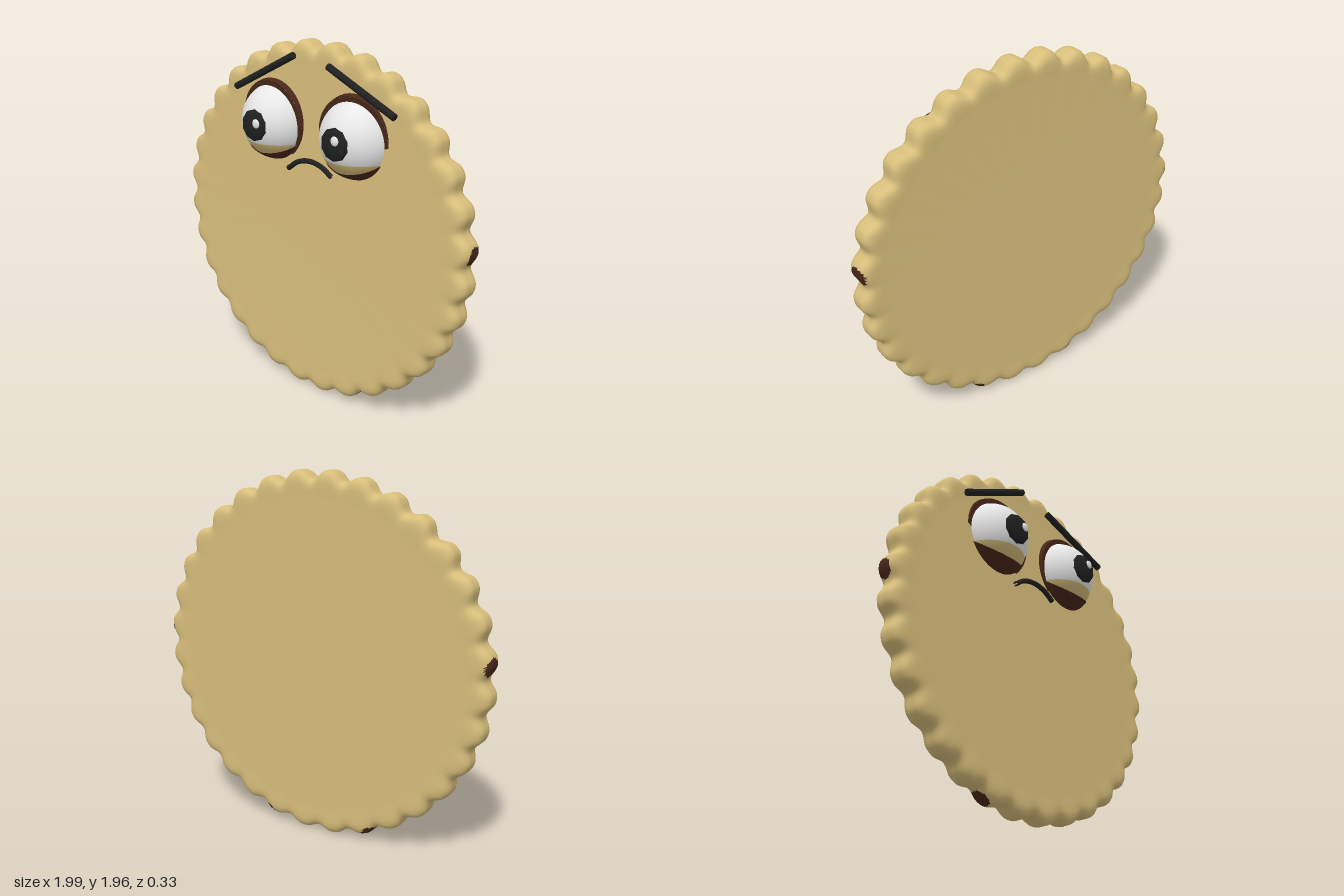
import * as THREE from 'three';

const mat = (name, color) => {
  const m = new THREE.MeshStandardMaterial({ color, side: THREE.DoubleSide });
  m.name = name;
  return m;
};

// Limb sockets painted on the rim, in the body's own frame
const sockets = [[0.99, 0.067, -0.015], [0.318, -0.918, -0.018]];

// Scalloped disc: rings of [base radius, z, share of the edge wave], swept front to back
function biscuitGeometry() {
  const half = [[0, 0.067, 0], [0.84, 0.067, 0], [0.885, 0.0685, 0.15], [0.912, 0.068, 0.5], [0.928, 0.062, 0.75],
    [0.938, 0.053, 0.9], [0.945, 0.042, 0.97], [0.949, 0.03, 1], [0.95, 0.02, 1], [0.95, 0.01, 1]];
  const rings = [...half, [0.95, 0, 1], ...half.slice().reverse().map(([r, z, w]) => [r, -z, w])];
  const seg = 640, pos = [], plain = [], painted = [];
  for (const [r, z, w] of rings) {
    for (let j = 0; j < seg; j++) {
      const t = (j / seg) * Math.PI * 2;
      const wave = 1 - Math.pow(Math.cos(16 * t) ** 2, 1.4);
      const depth = 0.038 + 0.01 * Math.sin(t);
      const R = r + w * (0.05 - depth * (1 - wave));
      pos.push(R * Math.cos(t), R * 0.982 * Math.sin(t), z * (1 + 0.12 * wave * w));
    }
  }
  const inSocket = (ids) => {
    const mid = [0, 1, 2].map((k) => ids.reduce((sum, i) => sum + pos[i * 3 + k], 0) / 3);
    return sockets.some(([x, y, z]) => Math.hypot(Math.abs(mid[0]) - x, mid[1] - y, mid[2] - z) < 0.052);
  };
  const face = (...ids) => (inSocket(ids) ? painted : plain).push(...ids);
  for (let i = 0; i < rings.length - 1; i++) {
    for (let j = 0; j < seg; j++) {
      const k = (j + 1) % seg;
      const a = i * seg + j, b = (i + 1) * seg + j, c = (i + 1) * seg + k, d = i * seg + k;
      if (i < rings.length - 2) face(a, b, c);
      if (i > 0) face(a, c, d);
    }
  }
  const g = new THREE.BufferGeometry();
  g.setAttribute('position', new THREE.Float32BufferAttribute(pos, 3));
  g.setIndex([...plain, ...painted]);
  g.addGroup(0, plain.length, 0);
  g.addGroup(plain.length, painted.length, 1);
  g.computeVertexNormals();
  return g;
}

export function createModel() {
  const model = new THREE.Group();
  model.name = 'biscuitCharacter';
  const dough = mat('dough', 0xd8be7b);
  const white = mat('eyeWhite', 0xebebeb);
  const black = mat('black', 0x202020);
  const brown = mat('darkBrown', 0x482719);
  const up = new THREE.Vector3(0, 1, 0);

  const add = (parent, name, geo, material, x = 0, y = 0, z = 0) => {
    const m = new THREE.Mesh(geo, material);
    m.name = name;
    m.position.set(x, y, z);
    parent.add(m);
    return m;
  };
  // Part of a sphere on the side of a plane that the axis points to, flattened inside the body
  const cap = (parent, name, r, axis, dist, material, y = 0) => {
    const g = new THREE.SphereGeometry(r, 48, 28, 0, Math.PI * 2, 0, Math.acos(dist / r));
    g.applyQuaternion(new THREE.Quaternion().setFromUnitVectors(up, new THREE.Vector3(...axis).normalize()));
    const p = g.attributes.position;
    for (let i = 0; i < p.count; i++) p.setZ(i, Math.max(p.getZ(i), -0.02));
    return add(parent, name, g, material, 0, y, 0);
  };
  const rod = (name, a, b, r) => {
    const A = new THREE.Vector3(...a), B = new THREE.Vector3(...b);
    const m = add(model, name, new THREE.CylinderGeometry(r, r, A.distanceTo(B), 16), black);
    m.position.copy(A).add(B).multiplyScalar(0.5);
    m.quaternion.setFromUnitVectors(up, B.sub(A).normalize());
  };

  // Body, leaning back slightly
  const body = add(model, 'body', biscuitGeometry(), [dough, brown], 0, 0.983, -0.064);
  body.rotation.x = -0.026;

  // Eyes with lids, pupils and glints
  const pupilProfile = [[0.088, 0.178], [0.084, 0.2], [0.072, 0.212], [0.04, 0.219], [0, 0.221]]
    .map(([r, z]) => new THREE.Vector2(r, z));
  for (const s of [-1, 1]) {
    const eye = new THREE.Group();
    eye.name = s > 0 ? 'leftEye' : 'rightEye';
    eye.position.set(s * 0.284, 1.51, -0.06);
    model.add(eye);
    cap(eye, 'eyeball', 0.207, [0, 0, 1], -0.02, white);
    cap(eye, 'lowerLid', 0.21, [0, -1, 0], 0.1, dough);
    cap(eye, 'lowerLidRim', 0.216, [0, -0.857, -0.514], 0.06, brown);

    // Upper lid: shell behind the eyeball, closed by a flat edge
    const axis = [-s * 0.04, 0.07, -1];
    const lid = cap(eye, 'upperLid', 0.229, axis, -0.059, brown, 0.006);
    const rimRadius = Math.sqrt(0.229 ** 2 - 0.059 ** 2);
    const edge = add(lid, 'upperLidEdge', new THREE.RingGeometry(0.14, rimRadius, 48), brown);
    const facing = new THREE.Vector3(...axis).normalize().negate();
    edge.position.copy(facing).multiplyScalar(0.059);
    edge.quaternion.setFromUnitVectors(new THREE.Vector3(0, 0, 1), facing);

    const pupil = add(eye, 'pupil', new THREE.LatheGeometry(pupilProfile, 10), black);
    pupil.rotation.x = Math.PI / 2;
    const glint = add(eye, 'glint', new THREE.SphereGeometry(0.025, 16, 12), white,
      s > 0 ? 0.022 : 0.037, s > 0 ? 0.026 : 0.018, 0.217);
    glint.scale.z = 0.4;
  }

  // Worried brows
  rod('rightBrow', [-0.545, 1.665, 0.012], [-0.11, 1.885, 0.012], 0.019);
  rod('leftBrow', [0.12, 1.855, 0], [0.57, 1.675, 0.028], 0.019);

  // Frowning mouth
  const curve = new THREE.CatmullRomCurve3([[-0.155, 1.275], [-0.08, 1.325], [0.01, 1.342], [0.09, 1.325], [0.152, 1.288]]
    .map(([x, y]) => new THREE.Vector3(x, y, 0.008)));
  add(model, 'mouth', new THREE.TubeGeometry(curve, 30, 0.014, 10), black);
  return model;
}
